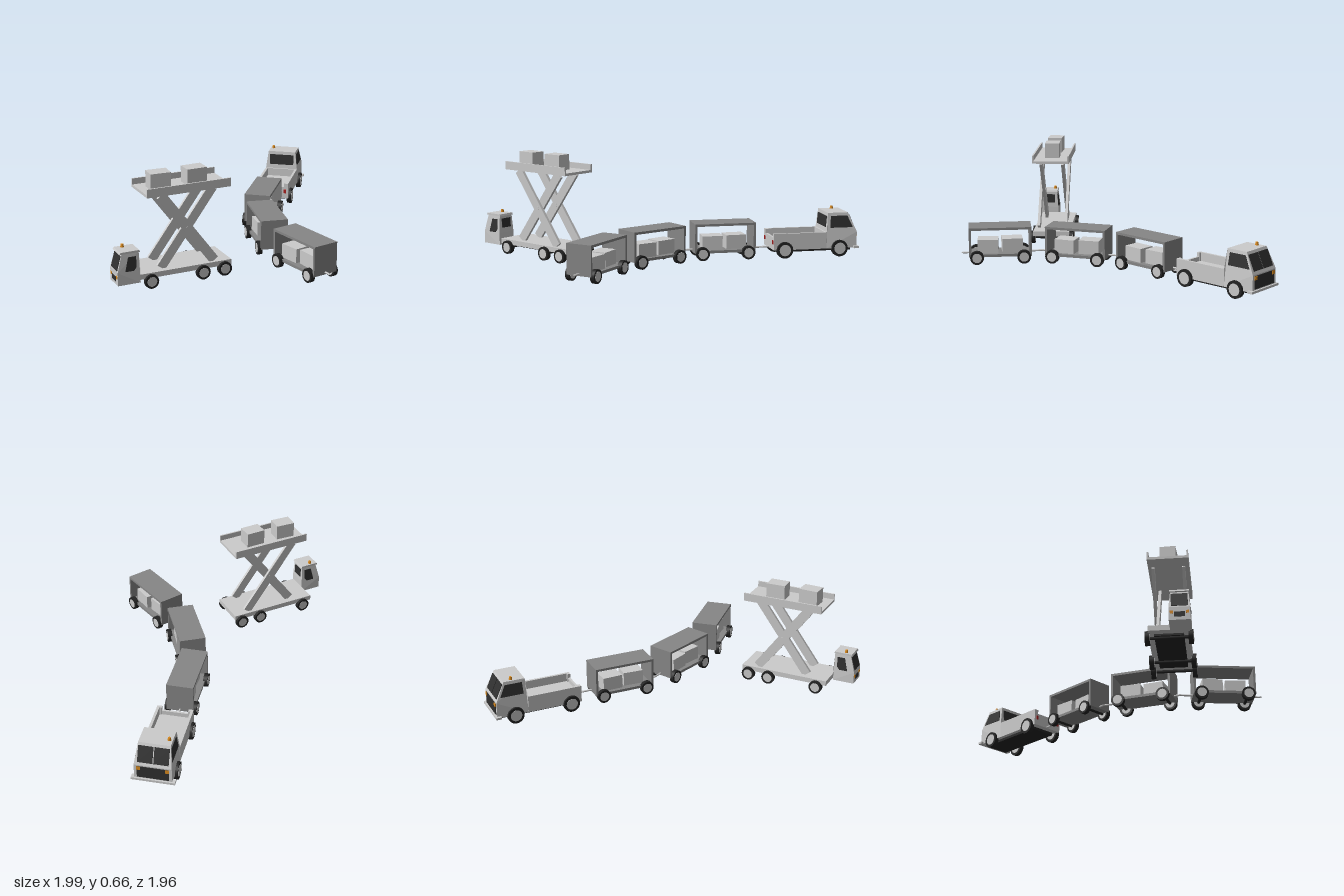
import * as THREE from 'three';

const mat = (color) => new THREE.MeshStandardMaterial({ color });
const GREY = mat(0xcccccc), CART = mat(0x868686), DARK = mat(0x303030);
const TYRE = mat(0x242424), ORANGE = mat(0xd98a1e), RED = mat(0xb02020);

function add(parent, name, geo, material, x = 0, y = 0, z = 0) {
  const m = new THREE.Mesh(geo, material);
  m.name = name;
  m.position.set(x, y, z);
  parent.add(m);
  return m;
}

// Box given by its centre in x and z and its bottom and top heights
function block(parent, name, w, d, y0, y1, x, z, material = GREY) {
  return add(parent, name, new THREE.BoxGeometry(w, y1 - y0, d), material, x, (y0 + y1) / 2, z);
}

// Side profile of [z, y] points extruded across x; narrows above height `waist`
function profile(points, width, waist = 1, k = 0) {
  const shape = new THREE.Shape(points.map(([z, y]) => new THREE.Vector2(z, y)));
  const g = new THREE.ExtrudeGeometry(shape, { depth: width, bevelEnabled: false });
  g.rotateY(-Math.PI / 2).translate(width / 2, 0, 0);
  const p = g.attributes.position;
  for (let i = 0; i < p.count; i++) {
    p.setX(i, p.getX(i) * (1 - k * Math.max(0, p.getY(i) - waist)));
  }
  g.computeVertexNormals();
  return g;
}

// Thin pane lying on the slope between two [z, y] points
function pane(parent, name, w, a, b, x, material = DARK) {
  const dz = b[0] - a[0], dy = b[1] - a[1];
  const m = add(parent, name, new THREE.BoxGeometry(w, Math.hypot(dz, dy), 0.006), material,
    x, (a[1] + b[1]) / 2, (a[0] + b[0]) / 2);
  m.rotation.x = Math.atan2(dz, dy);
}

function wheelPairs(parent, r, offset, zs) {
  for (const z of zs) {
    for (const s of [-1, 1]) {
      const wheel = new THREE.Group();
      wheel.name = 'wheel';
      wheel.position.set(s * offset, r, z);
      wheel.rotation.z = Math.PI / 2;
      add(wheel, 'tyre', new THREE.CylinderGeometry(r, r, 0.028, 24), TYRE);
      add(wheel, 'hub', new THREE.CylinderGeometry(r * 0.7, r * 0.7, 0.031, 24), GREY);
      parent.add(wheel);
    }
    const axle = add(parent, 'axle', new THREE.CylinderGeometry(0.01, 0.01, offset * 2, 8), TYRE, 0, r, z);
    axle.rotation.z = Math.PI / 2;
  }
}

function beacon(parent, x, y, z) {
  add(parent, 'beacon', new THREE.CylinderGeometry(0.008, 0.011, 0.018, 12), ORANGE, x, y + 0.009, z);
}

function rod(parent, name, a, b, r) {
  const d = b.clone().sub(a);
  const m = add(parent, name, new THREE.CylinderGeometry(r, r, d.length(), 8), GREY);
  m.position.copy(a).add(b).multiplyScalar(0.5);
  m.quaternion.setFromUnitVectors(new THREE.Vector3(0, 1, 0), d.normalize());
}

// Vehicles are built facing +z and then turned by their heading
function vehicle(root, name, x, z, heading) {
  const g = new THREE.Group();
  g.name = name;
  g.position.set(x, 0, z);
  g.rotation.y = heading;
  root.add(g);
  return g;
}

function hitch(parent, z0, z1) {
  rod(parent, 'hitchBar', new THREE.Vector3(0, 0.058, z0), new THREE.Vector3(0, 0.058, z1), 0.006);
  const ring = add(parent, 'hitchRing', new THREE.TorusGeometry(0.008, 0.003, 6, 14), GREY, 0, 0.058, z1);
  ring.rotation.x = Math.PI / 2;
}

function buildTug(g) {
  // Cab with sloped windscreen
  add(g, 'cab', profile([[0.07, 0.052], [0.272, 0.052], [0.272, 0.155], [0.215, 0.28], [0.08, 0.28], [0.07, 0.158]],
    0.225, 0.158, 1.2), GREY);
  add(g, 'sideWindows', profile([[0.095, 0.185], [0.245, 0.185], [0.21, 0.26], [0.1, 0.26]],
    0.229, 0.158, 1.2), DARK);
  for (const s of [-1, 1]) {
    pane(g, 'windscreen', 0.09, [0.264, 0.172], [0.223, 0.264], s * 0.048);
    block(g, 'headlight', 0.024, 0.008, 0.125, 0.147, s * 0.085, 0.274, ORANGE);
    block(g, 'tailLight', 0.016, 0.006, 0.09, 0.115, s * 0.09, -0.282, RED);
    block(g, 'bedSide', 0.016, 0.35, 0.052, 0.158, s * 0.1045, -0.105);
    block(g, 'bedCorner', 0.03, 0.02, 0.052, 0.158, s * 0.0975, -0.27);
  }
  pane(g, 'rearWindow', 0.17, [0.0715, 0.187], [0.0775, 0.258], 0);
  block(g, 'grille', 0.19, 0.006, 0.07, 0.148, 0, 0.272, DARK);
  block(g, 'bumper', 0.262, 0.035, 0.05, 0.064, 0, 0.265);
  // Open load bed
  block(g, 'bedFloor', 0.2, 0.35, 0.052, 0.105, 0, -0.105);
  block(g, 'tailgate', 0.2, 0.014, 0.052, 0.132, 0, -0.272);
  block(g, 'bedFront', 0.2, 0.012, 0.1, 0.158, 0, 0.064);
  block(g, 'underbody', 0.17, 0.48, 0.035, 0.053, 0, 0, TYRE);
  wheelPairs(g, 0.053, 0.114, [0.155, -0.21]);
  beacon(g, 0.075, 0.28, 0.163);
  hitch(g, -0.275, -0.324);
}

function buildTrailer(g) {
  block(g, 'floor', 0.17, 0.394, 0.045, 0.062, 0, 0, CART);
  block(g, 'roof', 0.17, 0.394, 0.217, 0.232, 0, 0, CART);
  for (const s of [-1, 1]) {
    block(g, 'endPanel', 0.17, 0.014, 0.045, 0.232, 0, s * 0.19, CART);
    const cargo = block(g, 'cargoBox', 0.105, 0.13, 0.062, 0.15, s * 0.008, s * 0.076);
    cargo.rotation.y = s * 0.05;
  }
  wheelPairs(g, 0.043, 0.087, [0.148, -0.148]);
  hitch(g, -0.197, -0.235);
}

function buildLift(g) {
  // Low chassis
  block(g, 'chassis', 0.24, 0.585, 0.06, 0.092, 0, -0.07);
  block(g, 'underbody', 0.17, 0.45, 0.048, 0.062, 0, -0.05, TYRE);
  wheelPairs(g, 0.043, 0.125, [0.155, -0.175, -0.315]);

  // Offset single-seat cab
  const cab = new THREE.Group();
  cab.name = 'cab';
  cab.position.x = 0.0715;
  g.add(cab);
  add(cab, 'cabBody', profile([[0.225, 0.05], [0.365, 0.05], [0.365, 0.13], [0.335, 0.24], [0.23, 0.24], [0.225, 0.13]],
    0.123, 0.13, 1.4), GREY);
  add(cab, 'sideWindows', profile([[0.265, 0.13], [0.318, 0.13], [0.297, 0.215], [0.248, 0.215], [0.248, 0.15]],
    0.127, 0.13, 1.4), DARK);
  add(cab, 'cabRoof', profile([[0.222, 0.237], [0.349, 0.237], [0.343, 0.249], [0.227, 0.249]], 0.112), GREY);
  pane(cab, 'windscreen', 0.095, [0.363, 0.138], [0.339, 0.225], 0);
  pane(cab, 'rearWindow', 0.075, [0.226, 0.16], [0.229, 0.22], 0);
  block(cab, 'grille', 0.06, 0.005, 0.07, 0.1, 0, 0.365, DARK);
  for (const s of [-1, 1]) block(cab, 'headlight', 0.018, 0.006, 0.09, 0.107, s * 0.045, 0.365, ORANGE);
  beacon(cab, -0.035, 0.249, 0.298);

  // Crossed lifting arms, a pair on each side
  const rise = 0.45, run = 0.335;
  for (const s of [-1, 1]) {
    for (const lean of [-1, 1]) {
      const arm = add(g, 'scissorArm', new THREE.BoxGeometry(0.018, Math.hypot(rise, run), 0.058), GREY,
        s * (lean > 0 ? 0.091 : 0.072), 0.322, -0.093);
      arm.rotation.x = lean * Math.atan2(run, rise);
    }
    const pin = add(g, 'armPivot', new THREE.CylinderGeometry(0.012, 0.012, 0.042, 12), GREY, s * 0.081, 0.322, -0.093);
    pin.rotation.z = Math.PI / 2;
  }

  // Raised platform with side rails and two boxes
  block(g, 'platform', 0.24, 0.53, 0.55, 0.566, 0, -0.095);
  for (const s of [-1, 1]) {
    block(g, 'platformRail', 0.01, 0.53, 0.55, 0.602, s * 0.117, -0.095);
    const cargo = block(g, 'cargoBox', 0.095, 0.125, 0.566, 0.664, 0.002, -0.06 + s * 0.113 - 0.002);
    cargo.rotation.y = s > 0 ? -0.06 : 0.02;
  }
}

export function createModel() {
  const root = new THREE.Group();
  root.name = 'airfieldVehicles';

  buildLift(vehicle(root, 'scissorLiftTruck', -0.635, 0.452, -Math.PI / 2));
  const tugHeading = 2.47;
  buildTug(vehicle(root, 'towTractor', 0.712, -0.68, tugHeading));

  // Trailers, each joined by a drawbar to the ring of the one ahead
  const along = (x, z, h, d) => new THREE.Vector3(x + Math.sin(h) * d, 0.058, z + Math.cos(h) * d);
  let ring = along(0.712, -0.68, tugHeading, -0.324);
  for (const [x, z, h] of [[0.345, -0.219, 2.461], [0.14, 0.231, 2.913], [0.1375, 0.733, -2.972]]) {
    buildTrailer(vehicle(root, 'trailer', x, z, h));
    rod(root, 'drawbar', along(x, z, h, 0.19), ring, 0.006);
    ring = along(x, z, h, -0.235);
  }
  return root;
}
